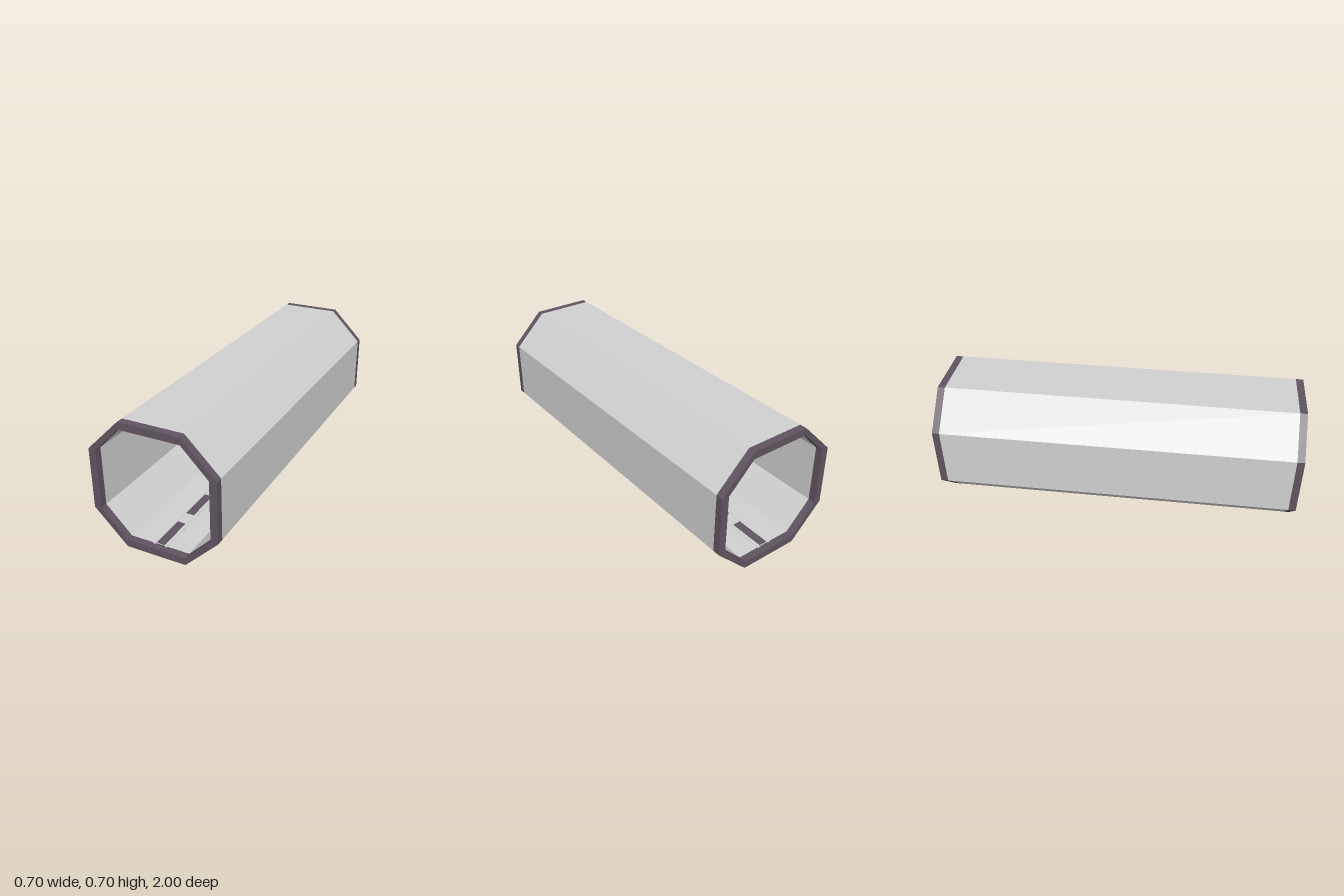
import * as THREE from 'three';

const CENTER_Y = 0.35;

// Full octagonal outline mirrored from one quarter
function outerPoints() {
  const r = 0.35, c = 0.167;
  return [[c, -r], [r, -c], [r, c], [c, r], [-c, r], [-r, c], [-r, -c], [-c, -r]]
    .map(([x, y]) => new THREE.Vector2(x, y + CENTER_Y));
}

// Inner outline, with two small grooves along the floor
function innerPoints() {
  const r = 0.31, c = 0.167, k = 0.163;
  const groove = (x) => [[x - 0.01, -r], [x - 0.002, -r - 0.007], [x + 0.002, -r - 0.007], [x + 0.01, -r]];
  return [[-c, -r], ...groove(-0.034), ...groove(0.034), [c, -r], [r, -k], [r, k],
    [c, r], [-c, r], [-r, k], [-r, -k]]
    .map(([x, y]) => new THREE.Vector2(x, y + CENTER_Y));
}

// A length of tube between two z positions
function tubeSection(name, z0, z1, material) {
  const shape = new THREE.Shape(outerPoints());
  shape.holes.push(new THREE.Path(innerPoints()));
  const geometry = new THREE.ExtrudeGeometry(shape, { depth: z1 - z0, bevelEnabled: false });
  geometry.translate(0, 0, z0);
  const mesh = new THREE.Mesh(geometry, material);
  mesh.name = name;
  return mesh;
}

export function createModel() {
  const group = new THREE.Group();
  group.name = 'octagonalTunnel';

  const shell = new THREE.MeshStandardMaterial({ color: 0xd0d0d0 });
  shell.name = 'lightGrey';
  const trim = new THREE.MeshStandardMaterial({ color: 0x5f5460 });
  trim.name = 'darkPurpleGrey';

  // Long shell with a dark rim at each end
  group.add(tubeSection('shell', -0.96, 0.96, shell));
  group.add(tubeSection('frontRim', 0.96, 1, trim));
  group.add(tubeSection('backRim', -1, -0.96, trim));

  // Dashed dark strip down the middle of the floor, between the grooves
  const count = 7, length = 0.2, pitch = 0.285;
  const dash = new THREE.BoxGeometry(0.046, 0.002, length);
  for (let i = 0; i < count; i++) {
    const mesh = new THREE.Mesh(dash, trim);
    mesh.name = 'floorDash';
    mesh.position.set(0, 0.04, (i - (count - 1) / 2) * pitch);
    group.add(mesh);
  }
  return group;
}
